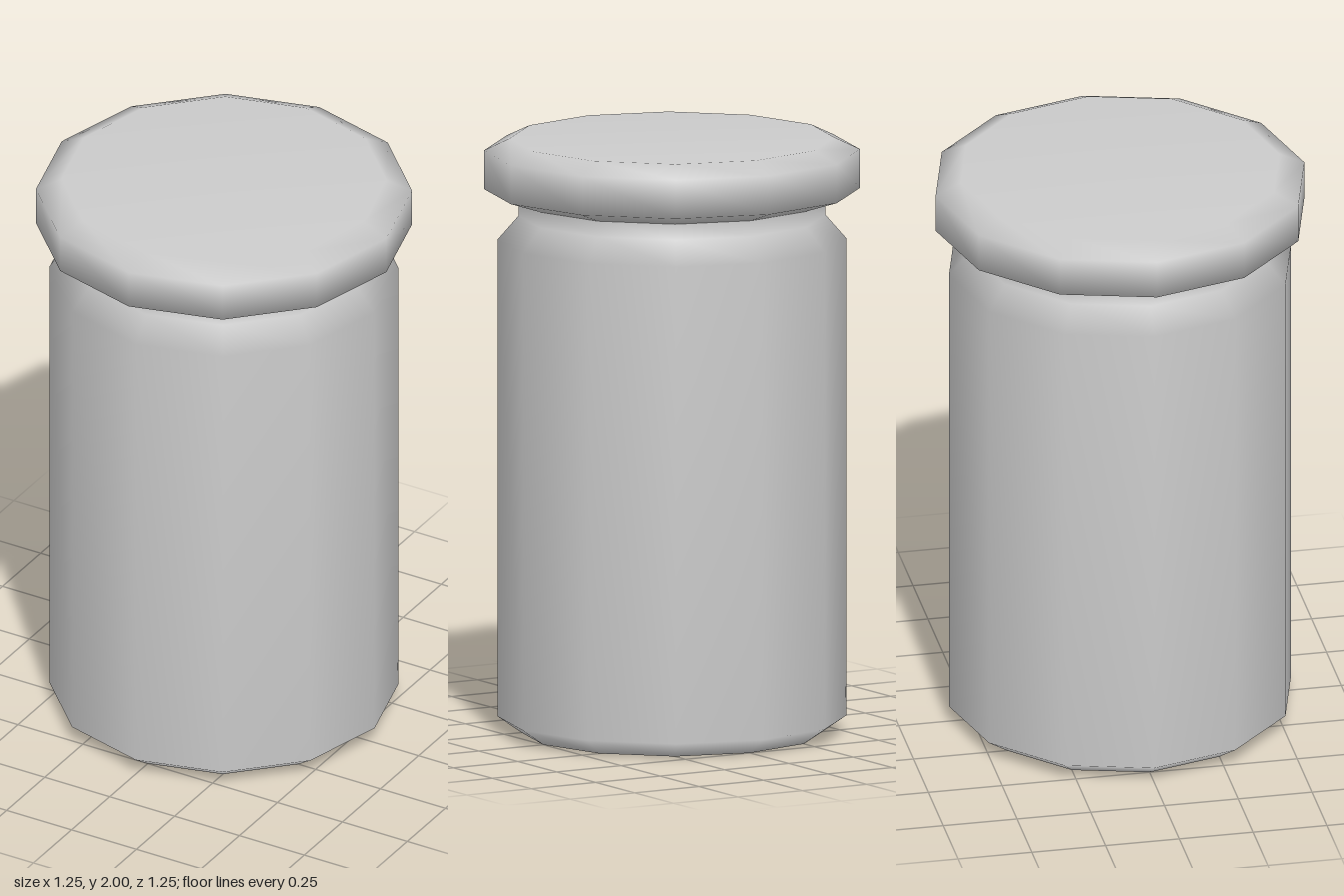
import * as THREE from 'three';

const SIDES = 12;

// Smooth-shaded turned part from [radius, height] pairs, listed bottom to top
function turned(name, profile, material) {
  const points = profile.map(([r, y]) => new THREE.Vector2(r, y));
  const mesh = new THREE.Mesh(new THREE.LatheGeometry(points, SIDES), material);
  mesh.name = name;
  return mesh;
}

export function createModel() {
  const group = new THREE.Group();
  group.name = 'jar';
  const grey = new THREE.MeshStandardMaterial({ color: 0xcccccc, side: THREE.DoubleSide });
  const red = new THREE.MeshStandardMaterial({ color: 0xb0101e });

  // Body with chamfered foot, sloping shoulder and short neck
  group.add(turned('body', [
    [0.5, 0], [0.58, 0.055], [0.58, 1.66], [0.51, 1.74], [0.51, 1.8],
  ], grey));

  // Overhanging lid with bevelled rims
  group.add(turned('lid', [
    [0.5, 1.79], [0.625, 1.83], [0.625, 1.96], [0.54, 2], [0, 2],
  ], grey));

  // Red base closing the foot
  const base = new THREE.Mesh(new THREE.CylinderGeometry(0.505, 0.498, 0.01, SIDES), red);
  base.name = 'base';
  base.position.y = 0.005;
  group.add(base);

  return group;
}
